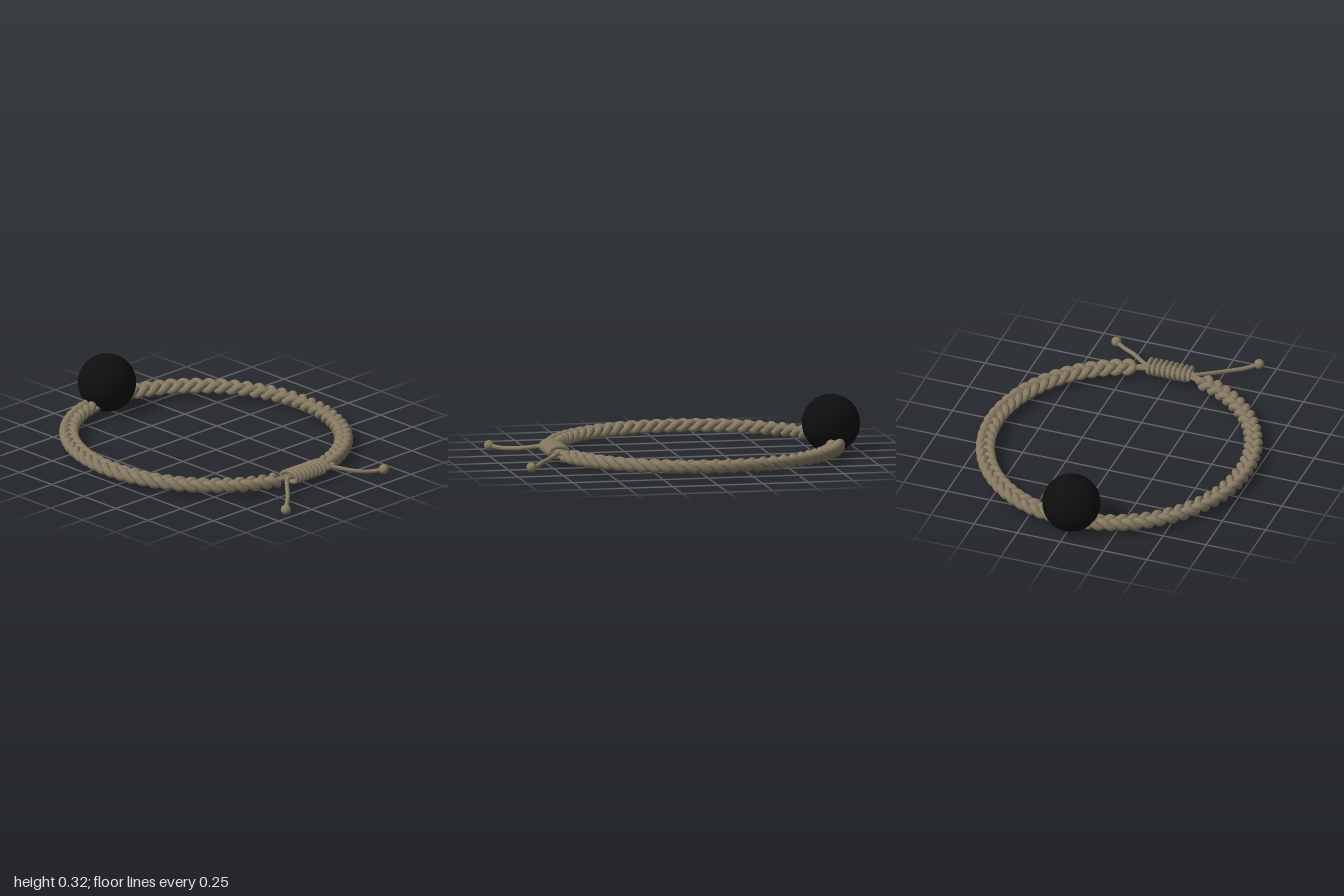
import * as THREE from 'three';

const CORD_Y = 0.06;

// Curve driven by a plain function of t in 0..1
class RuleCurve extends THREE.Curve {
  constructor(rule) { super(); this.rule = rule; }
  getPoint(t, target = new THREE.Vector3()) { return target.copy(this.rule(t)); }
}

export function createModel() {
  const group = new THREE.Group();
  const cordMat = new THREE.MeshStandardMaterial({ color: 0x877a63 });
  const beadMat = new THREE.MeshStandardMaterial({ color: 0x0e0e0e });

  const ball = (name, pos, r, mat, seg = 12, parent = group) => {
    const m = new THREE.Mesh(new THREE.SphereGeometry(r, seg * 2, seg), mat);
    m.position.copy(pos);
    m.name = name;
    parent.add(m);
  };
  // Round cord with domed ends
  const cord = (name, curve, segments, r, sides, parent = group) => {
    const m = new THREE.Mesh(new THREE.TubeGeometry(curve, segments, r, sides), cordMat);
    m.name = name;
    parent.add(m);
    for (const t of [0, 1]) ball(name + 'End', curve.getPoint(t), r, cordMat, 6, parent);
  };

  // Large bead
  ball('bead', new THREE.Vector3(-0.842, 0.159, 0.005), 0.158, beadMat, 32);

  // Three-strand braid on each half of the oval loop
  const strand = (from, to, k) => new RuleCurve((u) => {
    const a = from + (to - from) * u;
    const p = -23 * a + (k * Math.PI * 2) / 3;
    const out = 0.031 * Math.sin(p);
    return new THREE.Vector3(
      -0.08 + (0.77 + out) * Math.cos(a),
      CORD_Y + 0.015 * Math.sin(2 * p),
      -0.004 + (0.72 + out) * Math.sin(a));
  });
  for (const [name, from, to] of [
    ['frontBraid', 0.28, Math.PI - 0.15],
    ['backBraid', Math.PI + 0.15, Math.PI * 2 - 0.28],
  ]) {
    const braid = new THREE.Group();
    braid.name = name;
    for (let k = 0; k < 3; k++) cord('braidStrand', strand(from, to, k), 280, 0.022, 10, braid);
    group.add(braid);
  }

  // Sliding knot: flattened coil wrapped around two straight cords
  const turns = 8.5;
  cord('knotCoil', new RuleCurve((u) => {
    const a = u * turns * Math.PI * 2;
    return new THREE.Vector3(
      0.692 + 0.054 * Math.cos(a), 0.068 + 0.03 * Math.sin(a), -0.125 + 0.25 * u);
  }), 260, 0.0115, 8);
  for (const dx of [-0.013, 0.013]) {
    cord('knotCore', new THREE.CatmullRomCurve3([
      new THREE.Vector3(0.655 + dx * 0.6, CORD_Y, -0.21),
      new THREE.Vector3(0.685 + dx, 0.066, -0.1),
      new THREE.Vector3(0.685 + dx, 0.066, 0.1),
      new THREE.Vector3(0.655 + dx * 0.6, CORD_Y, 0.21),
    ]), 40, 0.012, 8);
  }

  // Loose tails with end balls
  for (const [name, x, z, bend] of [['backTail', 0.902, -0.39, 0.012], ['frontTail', 0.966, 0.412, -0.006]]) {
    const s = Math.sign(z);
    const end = new THREE.Vector3(x, 0.034, z);
    cord(name, new THREE.CatmullRomCurve3([
      new THREE.Vector3(0.685, 0.068, s * 0.09),
      new THREE.Vector3(0.7, 0.066, s * 0.14),
      new THREE.Vector3(0.69 + (x - 0.69) * 0.55 + bend, 0.035, s * 0.13 + (z - s * 0.13) * 0.5),
      new THREE.Vector3(0.69 + (x - 0.69) * 0.82 + bend * 0.5, 0.027, s * 0.13 + (z - s * 0.13) * 0.8),
      end,
    ]), 40, 0.012, 10);
    ball(name + 'Ball', end, 0.028, cordMat);
  }
  return group;
}
